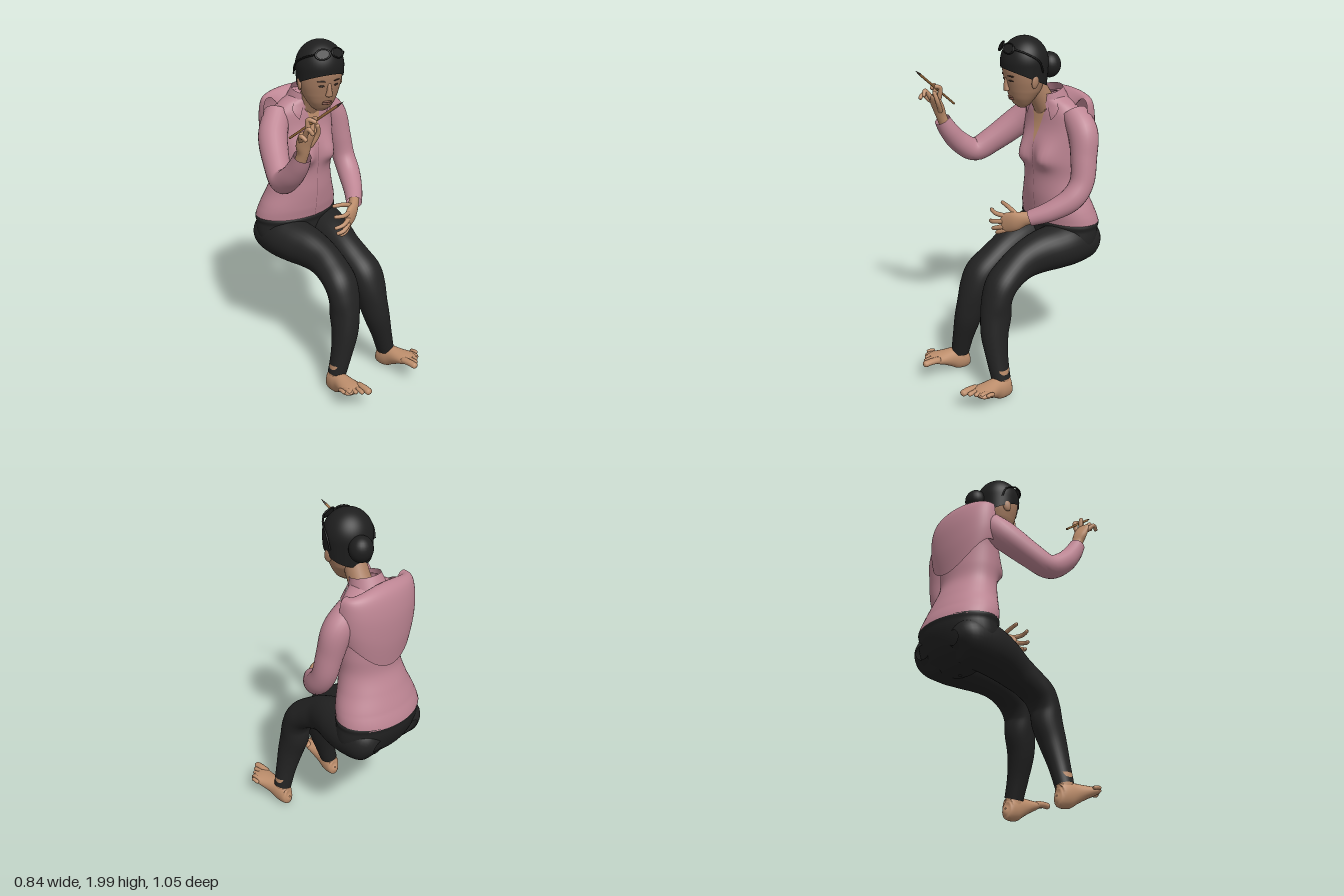
import * as THREE from 'three';

const V = (x, y, z) => new THREE.Vector3(x, y, z);
const CX = 0.055; // body centre line
const lerp = THREE.MathUtils.lerp;

// Smooth interpolation of one column of a table of cross-sections
function spline(rows, i, t, k) {
  const n = rows.length - 1;
  const [a, b, c, d] = [i - 1, i, i + 1, i + 2].map(j => rows[Math.min(Math.max(j, 0), n)][k]);
  return b + 0.5 * t * (c - a + t * (2 * a - 5 * b + 4 * c - d + t * (3 * (b - c) + d - a)));
}

// Section [y, cz, rx, rz] at a given height
function at(rows, y) {
  let i = 0;
  while (i < rows.length - 2 && y > rows[i + 1][0]) i++;
  const t = (y - rows[i][0]) / (rows[i + 1][0] - rows[i][0]);
  return rows[i].map((_, k) => spline(rows, i, t, k));
}

// Surface from a rule f(u, v); u may wrap around
function grid(nu, nv, f, wrap = true) {
  const pos = [], idx = [], cols = wrap ? nu : nu + 1;
  for (let j = 0; j <= nv; j++)
    for (let i = 0; i < cols; i++) pos.push(...f(i / nu, j / nv));
  for (let j = 0; j < nv; j++)
    for (let i = 0; i < nu; i++) {
      const a = j * cols + i, b = j * cols + (i + 1) % cols;
      idx.push(a, b, b + cols, a, b + cols, a + cols);
    }
  const g = new THREE.BufferGeometry();
  g.setAttribute('position', new THREE.Float32BufferAttribute(pos, 3));
  g.setIndex(idx);
  g.computeVertexNormals();
  return g;
}

// Horizontal elliptical sections stacked upward
function stack(rows, cx, nv, bump = () => 0) {
  const y0 = rows[0][0], y1 = rows[rows.length - 1][0];
  return grid(48, nv, (u, v) => {
    const y = lerp(y0, y1, v), [, cz, rx, rz] = at(rows, y), a = u * Math.PI * 2;
    const x = rx * Math.sin(a);
    return [cx + x, y, cz + rz * Math.cos(a) + (Math.cos(a) > 0 ? bump(x, y) : 0)];
  });
}

// Tapered limb through [x, y, z, r1, r2] sections, with optional rounded ends
function limb(rows, { ref = V(1, 0, 0), round = 0, nu = 24, nv = 40 } = {}) {
  const n = rows.length - 1;
  const get = v => {
    const i = Math.min(Math.floor(v * n), n - 1);
    return rows[0].map((_, k) => spline(rows, i, v * n - i, k));
  };
  return grid(nu, nv, (u, v) => {
    const p = get(v), a = u * Math.PI * 2;
    const T = V(...get(Math.min(v + 0.01, 1))).sub(V(...get(Math.max(v - 0.01, 0)))).normalize();
    const S = T.clone().cross(ref).normalize(), U = T.clone().cross(S);
    const e = round ? Math.sqrt(Math.max(0, 1 - (1 - Math.min(1, Math.min(v, 1 - v) / round)) ** 2)) : 1;
    return V(...p).addScaledVector(S, Math.cos(a) * p[3] * e).addScaledVector(U, Math.sin(a) * p[4] * e).toArray();
  });
}

const TORSO = [[0.925, -0.345, 0.27, 0.178], [1.0, -0.325, 0.255, 0.172], [1.1, -0.3, 0.215, 0.158],
  [1.2, -0.28, 0.19, 0.14], [1.3, -0.275, 0.195, 0.142], [1.4, -0.275, 0.2, 0.14], [1.5, -0.285, 0.212, 0.125],
  [1.58, -0.28, 0.2, 0.11], [1.63, -0.268, 0.15, 0.09], [1.67, -0.25, 0.085, 0.075]];
const PELVIS = [[0.67, -0.32, 0.01, 0.01], [0.69, -0.32, 0.12, 0.07], [0.74, -0.33, 0.235, 0.13],
  [0.82, -0.335, 0.27, 0.165], [0.9, -0.343, 0.268, 0.174], [0.95, -0.34, 0.25, 0.165], [0.96, -0.34, 0.01, 0.01]];
const HEAD = [[1.608, 0.012, 0.002, 0.002], [1.615, 0.012, 0.028, 0.022], [1.635, 0.013, 0.056, 0.046],
  [1.67, 0.01, 0.08, 0.07], [1.71, 0.002, 0.1, 0.092], [1.77, 0, 0.117, 0.109], [1.83, 0.003, 0.122, 0.116],
  [1.88, 0.002, 0.118, 0.112], [1.95, 0, 0.07, 0.07]];
const LEG = [[0.13, 0.8, -0.48, 0.04, 0.05], [0.137, 0.81, -0.42, 0.115, 0.12], [0.137, 0.81, -0.3, 0.135, 0.135],
  [0.125, 0.8, -0.2, 0.13, 0.13], [0.105, 0.785, -0.1, 0.122, 0.115], [0.09, 0.755, 0, 0.107, 0.1],
  [0.092, 0.715, 0.09, 0.092, 0.098], [0.1, 0.66, 0.17, 0.085, 0.1], [0.105, 0.58, 0.21, 0.08, 0.095],
  [0.112, 0.49, 0.222, 0.09, 0.085], [0.13, 0.38, 0.245, 0.08, 0.075], [0.165, 0.25, 0.255, 0.064, 0.06],
  [0.2, 0.13, 0.255, 0.055, 0.052]];
const FOOT = [[0.2, 0.07, 0.193, 0.005, 0.005], [0.201, 0.068, 0.2, 0.045, 0.03], [0.203, 0.068, 0.22, 0.064, 0.045],
  [0.207, 0.082, 0.26, 0.072, 0.05], [0.213, 0.096, 0.31, 0.058, 0.05], [0.223, 0.11, 0.37, 0.041, 0.058],
  [0.232, 0.12, 0.42, 0.028, 0.065], [0.234, 0.125, 0.45, 0.017, 0.056], [0.234, 0.126, 0.458, 0.002, 0.04]];

const bust = (x, y) => 0.045 * Math.exp(-(((Math.abs(x) - 0.09) / 0.06) ** 2) - ((y - 1.32) / (y < 1.32 ? 0.05 : 0.085)) ** 2);
const frontZ = (rows, x, y) => {
  const [, cz, rx, rz] = at(rows, y);
  return cz + rz * Math.sqrt(Math.max(0, 1 - (x / rx) ** 2));
};
// Thin panel lying on the front of the torso, between two edges
const panel = (y0, y1, left, right, off) => grid(8, 24, (u, v) => {
  const y = lerp(y0, y1, v), x = lerp(left(v), right(v), u);
  return [CX + x, y, frontZ(TORSO, x, y) + bust(x, y) + off];
}, false);

export function createModel() {
  const model = new THREE.Group();
  const mat = (name, color, side = THREE.FrontSide) => {
    const m = new THREE.MeshStandardMaterial({ color, side });
    m.name = name;
    return m;
  };
  const pink = mat('pink shirt', 0xbd8593, THREE.DoubleSide), seam = mat('seam', 0x8a5d69, THREE.DoubleSide);
  const black = mat('black trousers', 0x222222, THREE.DoubleSide), hairMat = mat('black hair', 0x1e1e1e, THREE.DoubleSide);
  const skin = mat('skin', 0xbd8e6c, THREE.DoubleSide), faceMat = mat('face skin', 0xab8064, THREE.DoubleSide);
  const lip = mat('lips', 0x8c5c4c), dark = mat('dark brown', 0x3a2a22);
  const wood = mat('wood', 0x9a6b3c), frame = mat('glasses', 0x141414);
  const add = (name, geo, m, parent = model) => {
    const mesh = new THREE.Mesh(geo, m);
    mesh.name = name;
    parent.add(mesh);
    return mesh;
  };
  const blob = (name, m, p, s, parent) => {
    const b = add(name, new THREE.SphereGeometry(1, 24, 16), m, parent);
    b.position.set(...p);
    b.scale.set(...s);
    return b;
  };

  // Shirt body, open neckline and front seam
  add('shirt', stack(TORSO, CX, 70, bust), pink);
  add('neckline', panel(1.41, 1.655, v => -0.064 * v, v => 0.064 * v, 0.004), skin);
  add('frontSeam', panel(0.93, 1.41, () => -0.0015, () => 0.0015, 0.003), seam);
  for (const m of [-1, 1]) {
    const inner = v => lerp(0.1, 0.055, v), outer = v => lerp(0.104, 0.098, v) + 0.03 * Math.sin(v * Math.PI);
    add('collarFlap', panel(1.55, 1.655, v => (m > 0 ? inner(v) : -outer(v)), v => (m > 0 ? outer(v) : -inner(v)), 0.012), pink);
  }
  const band = add('collarBand', new THREE.CylinderGeometry(0.082, 0.105, 0.08, 32, 1, true, 0.6, Math.PI * 2 - 1.2), pink);
  band.position.set(CX, 1.66, -0.245);
  band.rotation.x = 0.25;

  // Loose panel hanging over the back: [y, z at middle, half width]
  const FLAP = [[1.64, -0.3, 0.13], [1.695, -0.36, 0.19], [1.66, -0.42, 0.235], [1.55, -0.45, 0.25],
    [1.4, -0.452, 0.25], [1.25, -0.435, 0.235]];
  add('backPanel', grid(32, 30, (u, v) => {
    const s = v * 5, i = Math.min(Math.floor(s), 4);
    const [y, z, w] = [0, 1, 2].map(k => spline(FLAP, i, s - i, k));
    const a = (u - 0.5) * Math.PI, side = Math.sin(a) ** 2;
    const edge = -0.3;
    return [CX + w * Math.sin(a), y + 0.17 * side * v * v - 0.05 * side * (1 - v), edge + (z - edge) * Math.cos(a) ** 0.8];
  }, false), pink);

  // Sleeves
  add('rightSleeve', limb([[-0.1, 1.57, -0.3, 0.075, 0.075], [-0.19, 1.47, -0.23, 0.085, 0.082], [-0.27, 1.36, -0.1, 0.075, 0.072],
    [-0.315, 1.305, 0, 0.068, 0.066], [-0.335, 1.36, 0.095, 0.062, 0.062], [-0.34, 1.44, 0.165, 0.054, 0.056],
    [-0.345, 1.51, 0.205, 0.045, 0.048]]), pink);
  add('leftSleeve', limb([[0.21, 1.58, -0.29, 0.075, 0.07], [0.295, 1.49, -0.28, 0.08, 0.085], [0.33, 1.36, -0.26, 0.073, 0.072],
    [0.348, 1.23, -0.235, 0.068, 0.066], [0.335, 1.14, -0.17, 0.066, 0.066], [0.275, 1.075, -0.07, 0.055, 0.056],
    [0.205, 1.035, 0.015, 0.044, 0.046]]), pink);

  // Trousers, feet and toes, mirrored about the body centre
  add('hips', stack(PELVIS, CX, 30), black);
  for (const m of [-1, 1]) {
    const place = rows => rows.map(([x, ...r]) => [CX + m * x, ...r]);
    add(m > 0 ? 'leftTrouserLeg' : 'rightTrouserLeg', limb(place(LEG), { nu: 32, nv: 70 }), black);
    add('foot', limb(place(FOOT)), skin);
    add('ankle', limb(place([[0.2, 0.2, 0.255, 0.045, 0.042], [0.203, 0.08, 0.255, 0.052, 0.045]])), skin);
    for (let i = 0; i < 5; i++) {
      const r = i ? 0.0145 - 0.0007 * i : 0.021, x = 0.188 + 0.026 * i + (i ? 0.006 : 0);
      add('toe', limb(place([[x - 0.002, 0.125, 0.41 - 0.008 * i, r, r], [x, 0.133, 0.47 - 0.016 * i, r * 0.9, r],
        [x + 0.003, 0.13, 0.525 - 0.024 * i, r * 0.9, r]]), { round: 0.2, nu: 12, nv: 16 }), skin);
    }
  }

  // Hands
  const hand = (name, palm, fingers, ref) => {
    const g = new THREE.Group();
    g.name = name;
    model.add(g);
    add('palm', limb(palm, { ref, round: 0.1 }), skin, g);
    fingers.forEach((f, i) => add(i < 4 ? 'finger' : 'thumb', limb(f.map((p, k) => [...p, 0.0145 - 0.002 * k, 0.0145 - 0.002 * k]),
      { ref, round: 0.12, nu: 12, nv: 20 }), skin, g));
  };
  hand('leftHand', [[0.235, 1.045, -0.015, 0.03, 0.033], [0.185, 1.03, 0.03, 0.03, 0.04], [0.14, 1.01, 0.065, 0.028, 0.055],
    [0.09, 0.99, 0.09, 0.021, 0.056], [0.065, 0.985, 0.1, 0.016, 0.046]], [
    [[0.09, 1.03, 0.09], [0.03, 1.035, 0.115], [-0.032, 1.04, 0.1]],
    [[0.085, 1.0, 0.1], [0.02, 0.985, 0.125], [-0.032, 0.97, 0.105]],
    [[0.085, 0.97, 0.1], [0.025, 0.945, 0.12], [-0.012, 0.93, 0.1]],
    [[0.095, 0.95, 0.09], [0.045, 0.925, 0.11], [0.018, 0.91, 0.095]],
    [[0.16, 1.04, 0.055], [0.08, 1.072, 0.06], [0.0, 1.08, 0.05]]], V(0, 1, 0));
  hand('rightHand', [[-0.345, 1.47, 0.185, 0.03, 0.033], [-0.345, 1.53, 0.21, 0.028, 0.035], [-0.35, 1.58, 0.225, 0.027, 0.05],
    [-0.352, 1.63, 0.245, 0.022, 0.055], [-0.352, 1.655, 0.252, 0.016, 0.046]], [
    [[-0.315, 1.63, 0.245], [-0.303, 1.7, 0.24], [-0.308, 1.715, 0.28]],
    [[-0.34, 1.635, 0.25], [-0.345, 1.71, 0.25], [-0.32, 1.7, 0.288]],
    [[-0.37, 1.625, 0.25], [-0.377, 1.68, 0.29], [-0.362, 1.65, 0.312]],
    [[-0.39, 1.61, 0.245], [-0.415, 1.65, 0.28], [-0.405, 1.63, 0.312]],
    [[-0.32, 1.56, 0.23], [-0.295, 1.63, 0.265], [-0.31, 1.69, 0.28]]], V(1, 0, 0));

  // Paintbrush
  const b0 = V(-0.353, 1.585, 0.115), b1 = V(-0.265, 1.825, 0.417);
  const stick = (name, s, t, r0, r1, m) => {
    const p = b0.clone().lerp(b1, s), q = b0.clone().lerp(b1, t);
    const c = add(name, new THREE.CylinderGeometry(r1, r0, p.distanceTo(q), 12), m);
    c.position.copy(p).lerp(q, 0.5);
    c.quaternion.setFromUnitVectors(V(0, 1, 0), q.sub(p).normalize());
  };
  stick('brushHandle', 0, 0.9, 0.006, 0.007, wood);
  stick('brushTip', 0.9, 1, 0.007, 0.001, dark);

  // Neck and head, turned a little to its right
  add('neck', limb([[CX, 1.55, -0.25, 0.07, 0.075], [0.05, 1.66, -0.185, 0.062, 0.063], [0.035, 1.77, -0.12, 0.065, 0.065]]), faceMat);
  const head = new THREE.Group();
  head.name = 'head';
  head.position.set(0.028, 0, -0.085);
  head.rotation.y = -0.22;
  model.add(head);
  add('face', stack(HEAD, 0, 50), faceMat, head);
  add('nose', limb([[0, 1.79, 0.1, 0.012, 0.011], [0, 1.745, 0.108, 0.014, 0.014], [0, 1.71, 0.105, 0.017, 0.024]], { round: 0.2 }), faceMat, head);
  for (const [y, h] of [[1.677, 0.006], [1.666, 0.008]]) blob('lip', lip, [0, y, frontZ(HEAD, 0, y)], [0.029, h, 0.008], head);
  for (const m of [-1, 1]) {
    blob('eye', dark, [m * 0.045, 1.772, frontZ(HEAD, 0.045, 1.772)], [0.017, 0.005, 0.004], head).rotation.y = m * 0.4;
    blob('eyebrow', dark, [m * 0.047, 1.798, frontZ(HEAD, 0.047, 1.798)], [0.025, 0.004, 0.004], head).rotation.y = m * 0.4;
    const ear = blob('ear', faceMat, [m * 0.122, 1.772, -0.005], [0.011, 0.037, 0.024], head);
    ear.rotation.set(-0.2, m * 0.3, 0);
  }

  // Hair cap with a hairline that drops toward the nape, and a bun
  add('hair', grid(48, 28, (u, v) => {
    const a = u * Math.PI * 2, low = 1.78 + 0.055 * Math.cos(a);
    const y = low + (2 - low) * Math.sin(v * Math.PI / 2);
    const s = y < 1.86 ? 1 - (1.86 - y) * 0.5 : Math.sqrt(Math.max(0, 1 - ((y - 1.86) / 0.14) ** 2));
    return [0.134 * s * Math.sin(a), y, 0.13 * s * Math.cos(a)];
  }), hairMat, head);
  blob('hairBun', hairMat, [0.075, 1.835, -0.222], [0.066, 0.07, 0.062], model);

  // Glasses pushed up on the hair
  for (const m of [-1, 1]) {
    const rim = add('glassesRim', new THREE.TorusGeometry(0.034, 0.005, 8, 28), frame, head);
    const lens = add('glassesLens', new THREE.CylinderGeometry(0.033, 0.033, 0.004, 28).rotateX(Math.PI / 2), hairMat, head);
    for (const p of [rim, lens]) {
      p.position.set(m * 0.044, 1.945, 0.115);
      p.rotation.set(-0.5, m * 0.3, 0);
      p.scale.set(1.15, 0.8, 1);
    }
    const curve = new THREE.CatmullRomCurve3([V(m * 0.082, 1.945, 0.1), V(m * 0.118, 1.925, 0.05), V(m * 0.137, 1.88, -0.02), V(m * 0.135, 1.82, -0.045)]);
    add('glassesArm', new THREE.TubeGeometry(curve, 20, 0.005, 8), frame, head);
  }
  blob('glassesBridge', frame, [0, 1.95, 0.122], [0.014, 0.005, 0.005], head);

  return model;
}
